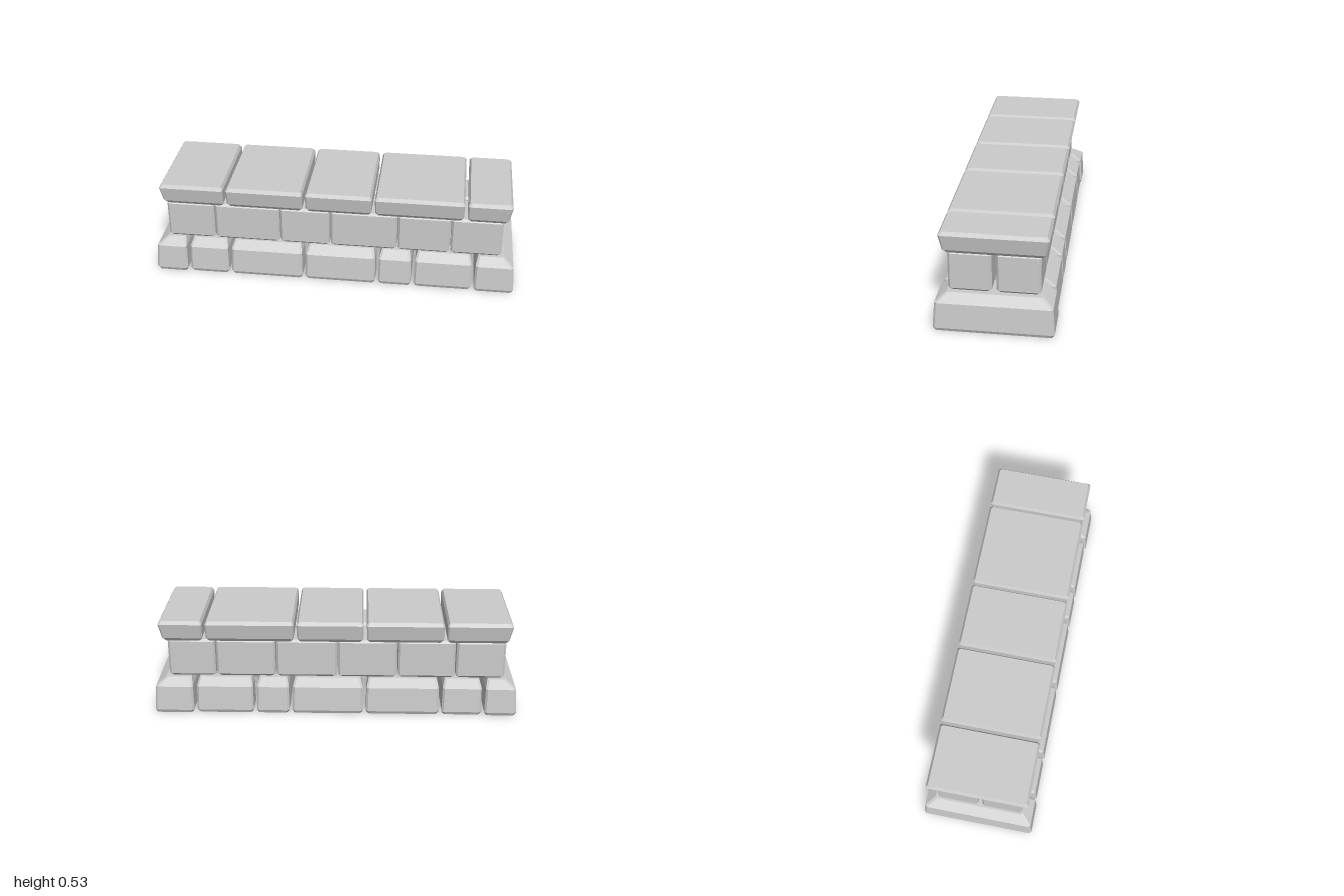
import * as THREE from 'three';

const material = new THREE.MeshStandardMaterial({ color: 0xcccccc, flatShading: true });

// Profiles: [height, inset of an exposed face, inset of a joint face]
const BASE = [[0, 0.008, 0.012], [0.018, 0, 0.003], [0.155, 0.01, 0.006], [0.193, 0.062, 0.018]];
const WALL = [[0.193, 0.012, 0.012], [0.206, 0, 0], [0.398, 0, 0], [0.411, 0.012, 0.012]];
const CAP = [[0.411, 0.03, 0.016], [0.43, 0.016, 0.004], [0.514, 0, 0.002], [0.533, 0.012, 0.012]];

// Stone with bevelled edges, lofted through octagonal sections.
// joints = [left x, right x, back z, front z]: true where the face meets another stone.
function stone(name, [x0, x1, z0, z1], profile, joints, bevel = 0.011) {
  const pos = [], idx = [], n = 8;
  for (const [y, outer, joint] of profile) {
    const d = joints.map((j) => (j ? joint : outer));
    const a = x0 + d[0], b = x1 - d[1], c = z0 + d[2], e = z1 - d[3], k = bevel;
    const ring = [[a + k, e], [b - k, e], [b, e - k], [b, c + k], [b - k, c], [a + k, c], [a, c + k], [a, e - k]];
    for (const [x, z] of ring) pos.push(x, y, z);
  }
  const top = (profile.length - 1) * n;
  for (let r = 0; r < top; r += n) {
    for (let i = 0; i < n; i++) {
      const j = (i + 1) % n;
      idx.push(r + i, r + j, r + n + j, r + i, r + n + j, r + n + i);
    }
  }
  for (let i = 1; i < n - 1; i++) {
    idx.push(top, top + i, top + i + 1);
    idx.push(0, i + 1, i);
  }
  const indexed = new THREE.BufferGeometry();
  indexed.setAttribute('position', new THREE.Float32BufferAttribute(pos, 3));
  indexed.setIndex(idx);
  const geometry = indexed.toNonIndexed();
  geometry.computeVertexNormals();
  const mesh = new THREE.Mesh(geometry, material);
  mesh.name = name;
  return mesh;
}

// Calls fn(x0, x1, isFirst, isLast, index) for every stone between the seams
function course(seams, gap, fn) {
  const last = seams.length - 2;
  for (let i = 0; i <= last; i++) {
    fn(seams[i] + (i ? gap / 2 : 0), seams[i + 1] - (i < last ? gap / 2 : 0), i === 0, i === last, i);
  }
}

export function createModel() {
  const model = new THREE.Group();
  model.name = 'lowStoneWall';
  const group = (name) => {
    const g = new THREE.Group();
    g.name = name;
    model.add(g);
    return g;
  };

  // Foundation: through stones alternate with front and back pairs around a hollow core
  const base = group('foundation');
  const through = [0, 1, 4, 6];
  course([-1, -0.815, -0.58, -0.16, 0.245, 0.445, 0.775, 1], 0.01, (x0, x1, first, last, i) => {
    const z = first || last ? 0.305 : 0.298;
    if (through.includes(i)) {
      base.add(stone('foundationThroughStone', [x0, x1, -z, z], BASE, [!first, !last, false, false]));
    } else {
      base.add(stone('foundationFrontStone', [x0, x1, 0.15, z], BASE, [true, true, true, false]));
      base.add(stone('foundationBackStone', [x0, x1, -z, -0.15], BASE, [true, true, false, true]));
    }
  });

  // Wall: two parallel rows with a narrow cavity between them
  const wall = group('wall');
  const rows = [
    ['wallFrontBlock', [-0.93, -0.665, -0.3, -0.02, 0.35, 0.64, 0.92], 0.017, 0.236],
    ['wallBackBlock', [-0.93, -0.66, -0.34, -0.01, 0.33, 0.66, 0.92], -0.228, -0.006],
  ];
  for (const [name, seams, z0, z1] of rows) {
    course(seams, 0.006, (x0, x1) => {
      wall.add(stone(name, [x0, x1, z0, z1], WALL, [true, true, true, true]));
    });
  }

  // Coping slabs flaring outwards to the top
  const coping = group('coping');
  course([-0.957, -0.597, -0.16, 0.217, 0.715, 0.96], 0.012, (x0, x1, first, last) => {
    coping.add(stone('copingSlab', [x0, x1, -0.27, 0.272], CAP, [!first, !last, false, false], 0.008));
  });

  return model;
}
